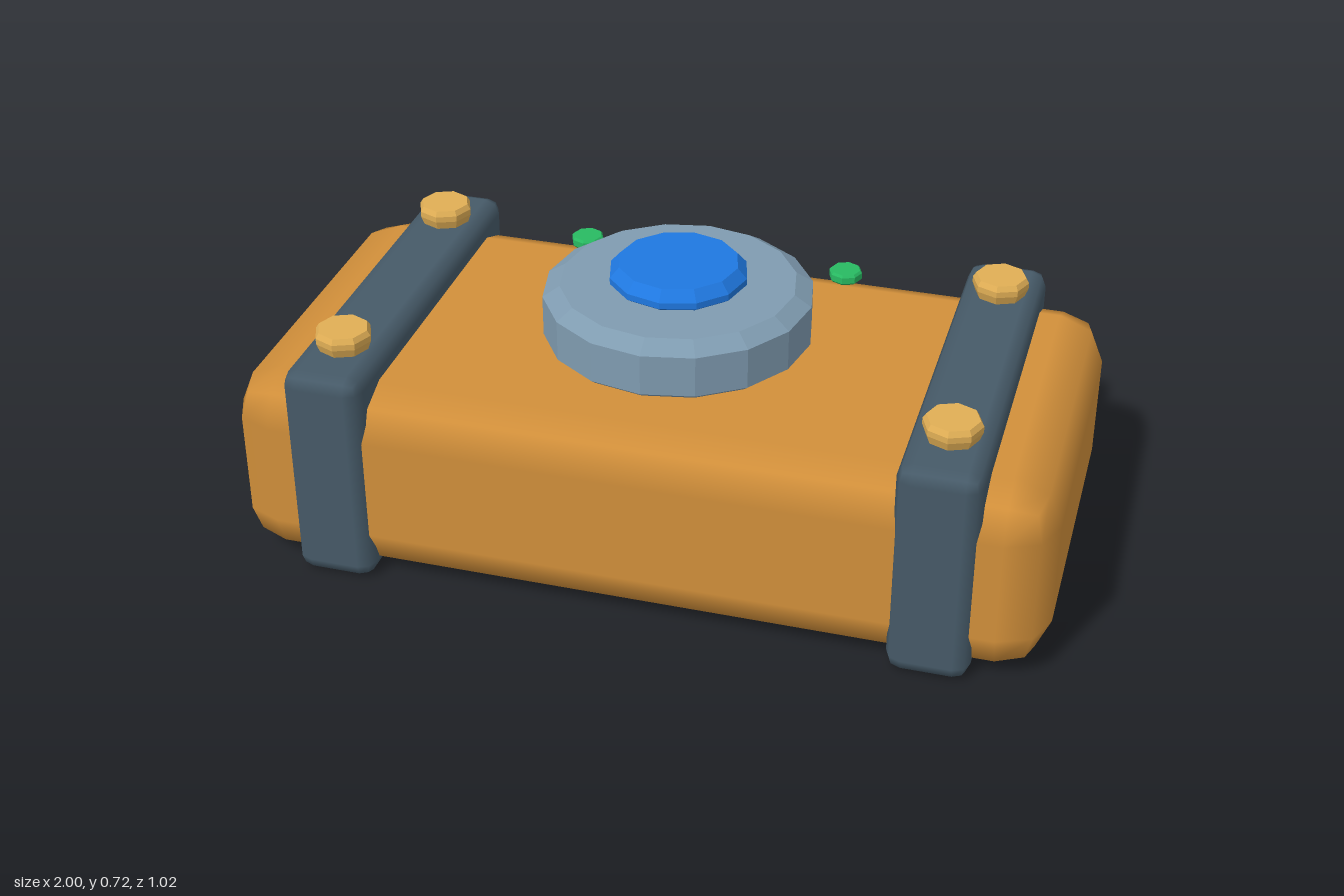
import * as THREE from 'three';
import { RoundedBoxGeometry } from 'three/addons/geometries/RoundedBoxGeometry.js';

const paint = (color, flatShading = false) => new THREE.MeshStandardMaterial({ color, flatShading });

// Box with one-step rounded edges
function softBox(name, w, h, d, radius, material) {
  const mesh = new THREE.Mesh(new RoundedBoxGeometry(w, h, d, 1, radius), material);
  mesh.name = name;
  return mesh;
}

// Closed faceted disc turned from [radius, height] pairs, listed bottom to top
function turned(name, profile, sides, material) {
  const points = [[0, profile[0][1]], ...profile, [0, profile[profile.length - 1][1]]];
  const geometry = new THREE.LatheGeometry(points.map(([r, y]) => new THREE.Vector2(r, y)), sides);
  const mesh = new THREE.Mesh(geometry, material);
  mesh.name = name;
  return mesh;
}

export function createModel() {
  const model = new THREE.Group();
  model.name = 'strappedDevice';

  const orange = paint(0xd18f3a);
  const slate = paint(0x465a68);
  const steel = paint(0x7f9bb0, true);
  const gold = paint(0xe0ae55, true);
  const blue = paint(0x1f78e0, true);
  const green = paint(0x28ba62, true);

  // Main case
  const body = softBox('body', 2, 0.493, 0.98, 0.115, orange);
  body.position.y = 0.256;
  model.add(body);

  // A strap round each end, with a bolt near the front and back
  for (const side of [-1, 1]) {
    const strap = softBox('strap', 0.198, 0.563, 1.02, 0.038, slate);
    strap.position.set(side * 0.734, 0.2815, 0);
    model.add(strap);

    for (const end of [-1, 1]) {
      const bolt = turned('bolt', [[0.057, 0.55], [0.07, 0.585], [0.07, 0.6], [0.062, 0.613]], 8, gold);
      bolt.position.set(side * 0.734, 0, end * 0.341);
      model.add(bolt);
    }
  }

  // Round dial base hovering just above the case, with a button on top
  model.add(turned('dialBase', [[0.315, 0.53], [0.33, 0.542], [0.33, 0.645], [0.288, 0.672]], 16, steel));
  model.add(turned('dialButton', [[0.153, 0.67], [0.17, 0.682], [0.17, 0.698], [0.147, 0.724]], 12, blue));

  // Row of indicator lights along the back
  for (let i = -2; i <= 2; i++) {
    const light = turned('indicatorLight', [[0.036, 0.543], [0.042, 0.549], [0.042, 0.565], [0.037, 0.571]], 8, green);
    light.position.set(i * 0.171, 0, -0.343);
    model.add(light);
  }

  return model;
}
